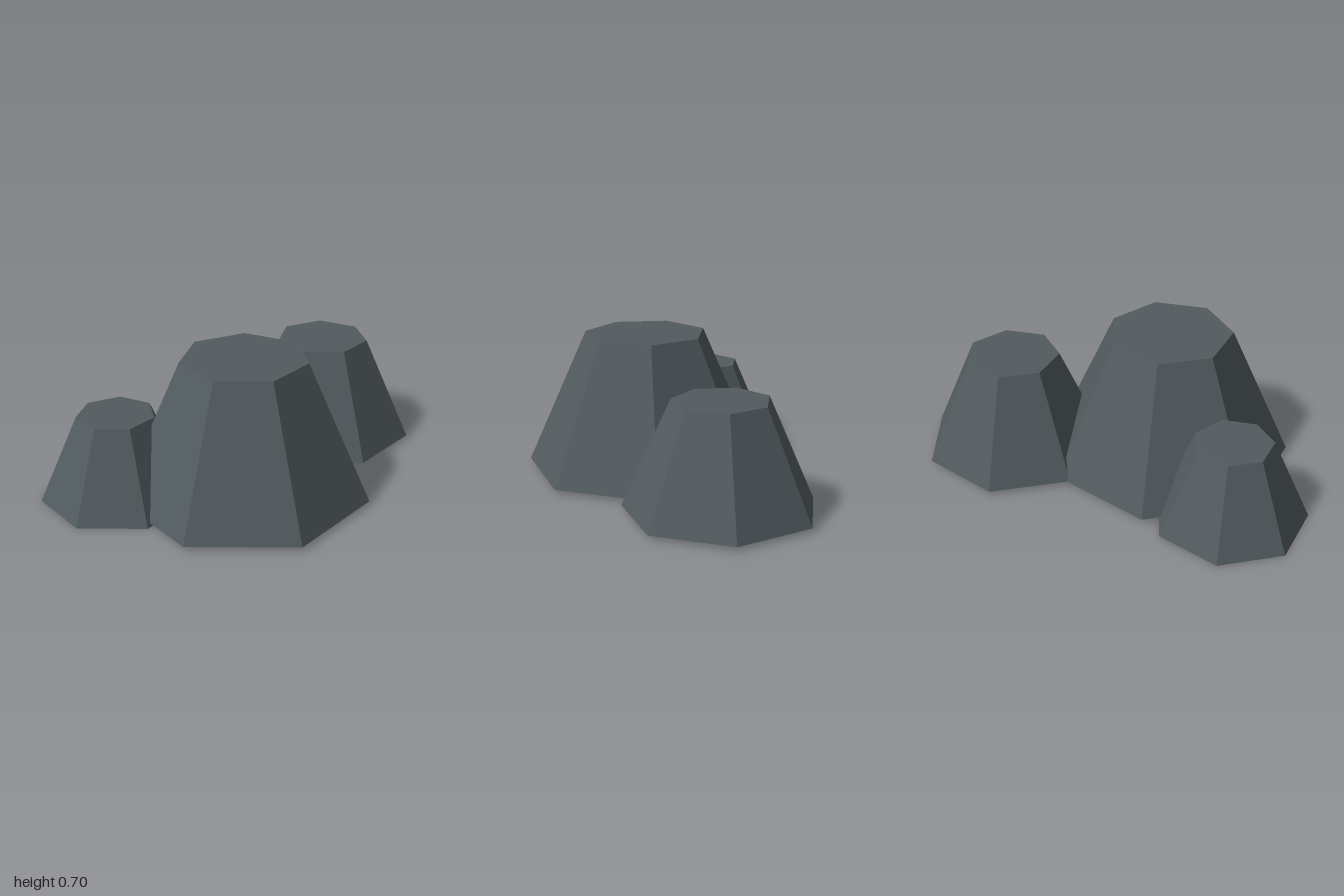
import * as THREE from 'three';

export function createModel() {
  const group = new THREE.Group();
  group.name = 'rockCluster';
  const stone = new THREE.MeshStandardMaterial({ color: 0x525b5f, flatShading: true });
  stone.name = 'slate grey stone';

  // Seven-sided tapered rock with a corner pointing to the back
  function addRock(name, x, z, topRadius, bottomRadius, y0, y1) {
    const geometry = new THREE.CylinderGeometry(topRadius, bottomRadius, y1 - y0, 7);
    geometry.rotateY(Math.PI);
    const rock = new THREE.Mesh(geometry, stone);
    rock.name = name;
    rock.position.set(x, (y0 + y1) / 2, z);
    group.add(rock);
  }

  addRock('largeRock', -0.234, 0.138, 0.307, 0.613, 0.018, 0.702);
  addRock('mediumRock', 0.541, 0.027, 0.233, 0.467, 0.018, 0.538);
  addRock('smallRock', -0.632, -0.317, 0.189, 0.378, 0, 0.426);

  return group;
}
